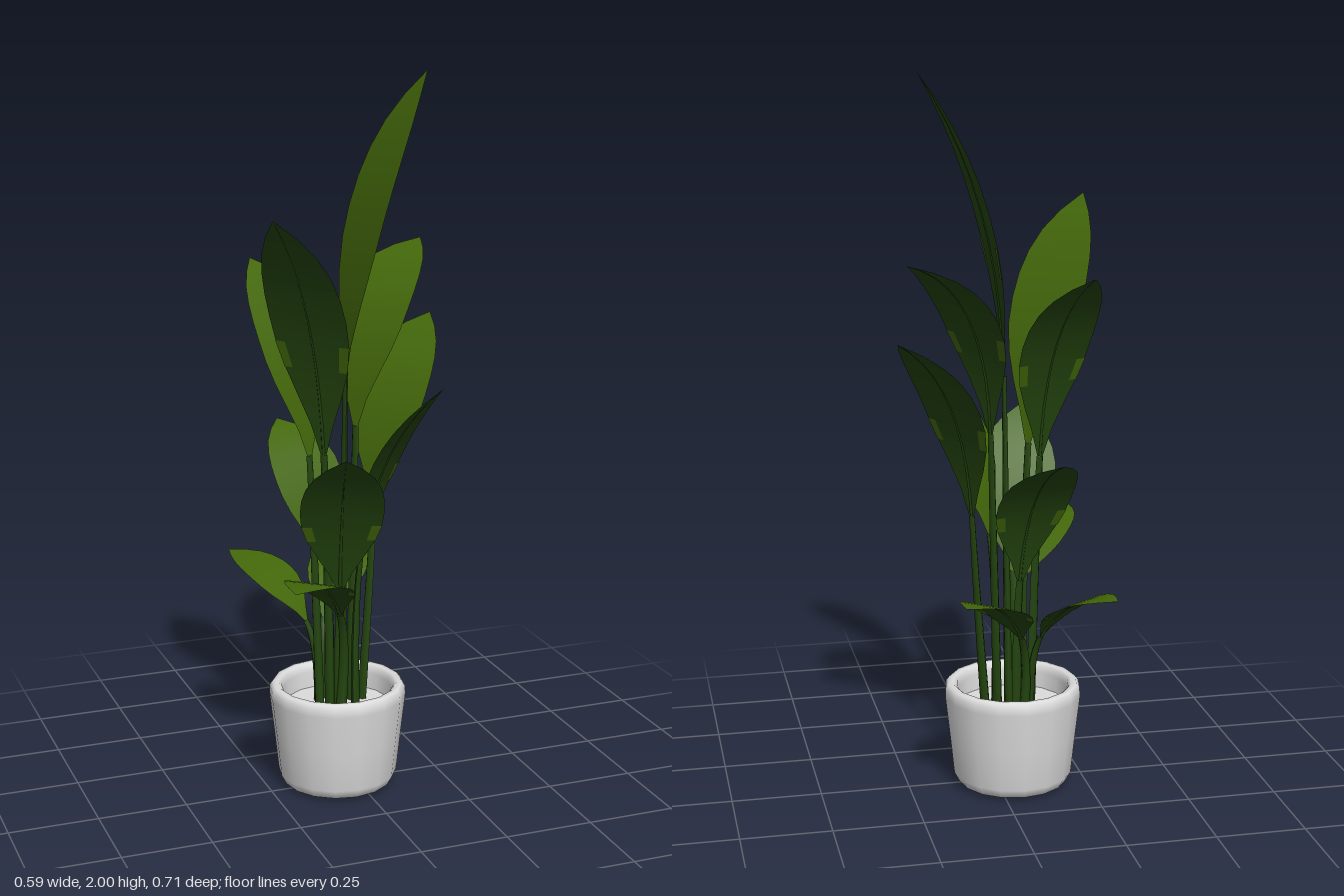
import * as THREE from 'three';

const upperGreen = new THREE.MeshStandardMaterial({ name: 'leaf green', color: 0x43670a });
const underGreen = new THREE.MeshStandardMaterial({ name: 'stem green', color: 0x24450f });
const potGrey = new THREE.MeshStandardMaterial({ name: 'pot grey', color: 0xdcdcdc });

// tip, leaf base, stem foot (x and z), half width, and how far the blade bends out and up
const leaves = [
  { tip: [0.21, 2.0, 0.0], base: [-0.023, 1.18, -0.008], foot: [-0.035, -0.012], width: 0.145, bend: [0.03, 0.6] },
  { tip: [-0.292, 1.65, 0.19], base: [-0.099, 0.98, 0.028], foot: [-0.08, 0.016], width: 0.118, bend: [0.15, 0.65] },
  { tip: [0.275, 1.52, -0.2], base: [0.024, 1.03, -0.053], foot: [0.002, -0.04], width: 0.12, bend: [0.05, 0.85] },
  { tip: [-0.21, 1.48, -0.265], base: [-0.115, 0.96, -0.045], foot: [-0.1, -0.01], width: 0.115, bend: [0.12, 0.75] },
  { tip: [0.295, 1.31, -0.172], base: [0.075, 0.8, -0.045], foot: [0.035, -0.035], width: 0.122, bend: [0.1, 0.75] },
  { tip: [0.172, 1.18, 0.212], base: [0.008, 0.72, 0.042], foot: [-0.007, 0.027], width: 0.11, bend: [0.2, 0.65] },
  { tip: [-0.13, 1.03, 0.285], base: [-0.067, 0.6, 0.065], foot: [-0.06, 0.041], width: 0.114, bend: [0.26, 0.65] },
  { tip: [-0.115, 1.0, -0.325], base: [-0.05, 0.62, -0.09], foot: [-0.05, -0.06], width: 0.112, bend: [0.2, 0.8] },
  { tip: [-0.295, 0.705, 0.355], base: [-0.08, 0.54, 0.1], foot: [-0.065, 0.06], width: 0.088, bend: [0.38, 1.1] },
  { tip: [0.15, 0.635, -0.355], base: [-0.05, 0.46, -0.11], foot: [-0.065, -0.08], width: 0.09, bend: [0.34, 0.9] },
  { tip: [-0.265, 0.62, -0.33], base: [-0.108, 0.46, -0.102], foot: [-0.085, -0.065], width: 0.085, bend: [0.34, 0.95] },
];

// half-width of the blade from base to tip, as a fraction of its widest point
const blade = [0.08, 0.3, 0.58, 0.82, 0.96, 1, 0.98, 0.89, 0.71, 0.41, 0];

// surface through rows of points
function loft(rows, flip) {
  const n = rows[0].length, index = [];
  for (let i = 0; i < rows.length - 1; i++) {
    for (let j = 0; j < n - 1; j++) {
      const a = i * n + j, b = a + 1, c = b + n, d = a + n;
      index.push(...(flip ? [a, c, b, a, d, c] : [a, b, c, a, c, d]));
    }
  }
  const g = new THREE.BufferGeometry().setFromPoints(rows.flat());
  g.setIndex(index);
  g.computeVertexNormals();
  return g;
}

// rows of cross-sections along a curve; section(t, i) gives [sideways, upward] offsets
function sweep(curve, side, steps, section) {
  const rows = [];
  for (let i = 0; i <= steps; i++) {
    const t = i / steps, p = curve.getPoint(t);
    const up = side.clone().cross(curve.getTangent(t)).normalize();
    rows.push(section(t, i).map(([s, u]) =>
      p.clone().addScaledVector(side, s).addScaledVector(up, u)));
  }
  return rows;
}

function mesh(name, geometry, material) {
  const m = new THREE.Mesh(geometry, material);
  m.name = name;
  return m;
}

function makeLeaf(spec) {
  const leaf = new THREE.Group();
  leaf.name = 'leaf';
  const tip = new THREE.Vector3(...spec.tip), base = new THREE.Vector3(...spec.base);
  const foot = new THREE.Vector3(spec.foot[0], 0.22, spec.foot[1]);
  const reach = tip.clone().sub(base), [out, rise] = spec.bend;
  const side = new THREE.Vector3(-reach.z, 0, reach.x).normalize();

  // arching blade, with an upper and an under face
  const bend = reach.clone().multiply(new THREE.Vector3(out, rise, out)).add(base);
  const arch = new THREE.QuadraticBezierCurve3(base, bend, tip);
  const steps = blade.length - 1;
  const face = (columns, lift) => sweep(arch, side, steps, (t, i) =>
    columns.map((k) => [k * spec.width * blade[i], lift]));
  leaf.add(mesh('leafTop', loft(face([-1, 0, 1], 0.0015), false), upperGreen));
  leaf.add(mesh('leafUnderside', loft(face([-1, 0, 1], -0.0015), true), underGreen));

  // light patches on the edges of the underside
  for (const columns of [[-1, -0.74], [0.74, 1]]) {
    leaf.add(mesh('edgePatch', loft(face(columns, -0.0035).slice(3, 5), true), upperGreen));
  }

  // raised midrib under the blade
  const rib = sweep(arch, side, steps, (t) => {
    const w = 0.005 * (1 - t);
    return [[-w, -0.0015], [0, -0.002 - w], [w, -0.0015]];
  });
  leaf.add(mesh('midrib', loft(rib, true), underGreen));

  // flattened, tapering stem running into the blade
  const lead = base.clone().sub(bend).normalize().multiplyScalar((base.y - foot.y) * 0.35).add(base);
  const stem = new THREE.QuadraticBezierCurve3(foot, lead, base);
  const rows = sweep(stem, side, 8, (t) => Array.from({ length: 7 }, (_, k) => {
    const a = k / 6 * Math.PI * 2;
    return [Math.cos(a) * (0.016 - 0.005 * t), Math.sin(a) * (0.012 - 0.006 * t)];
  }));
  leaf.add(mesh('stem', loft(rows, true), underGreen));
  return leaf;
}

export function createModel() {
  const plant = new THREE.Group();
  plant.name = 'pottedPlant';

  // tapered pot with rounded foot and rim
  const profile = [
    [0, 0], [0.13, 0], [0.154, 0.01], [0.168, 0.036], [0.18, 0.15], [0.193, 0.265], [0.192, 0.288],
    [0.183, 0.3], [0.168, 0.3], [0.159, 0.292], [0.156, 0.275], [0.152, 0.22],
  ].map(([r, h]) => new THREE.Vector2(r, h));
  const pot = mesh('pot', new THREE.LatheGeometry(profile, 16), potGrey);
  pot.position.set(-0.047, 0, -0.012);
  plant.add(pot);

  // fill inside the pot
  const fill = mesh('potFill', new THREE.CircleGeometry(0.154, 16), potGrey);
  fill.rotation.x = -Math.PI / 2;
  fill.position.set(-0.047, 0.23, -0.012);
  plant.add(fill);

  for (const spec of leaves) plant.add(makeLeaf(spec));
  return plant;
}
